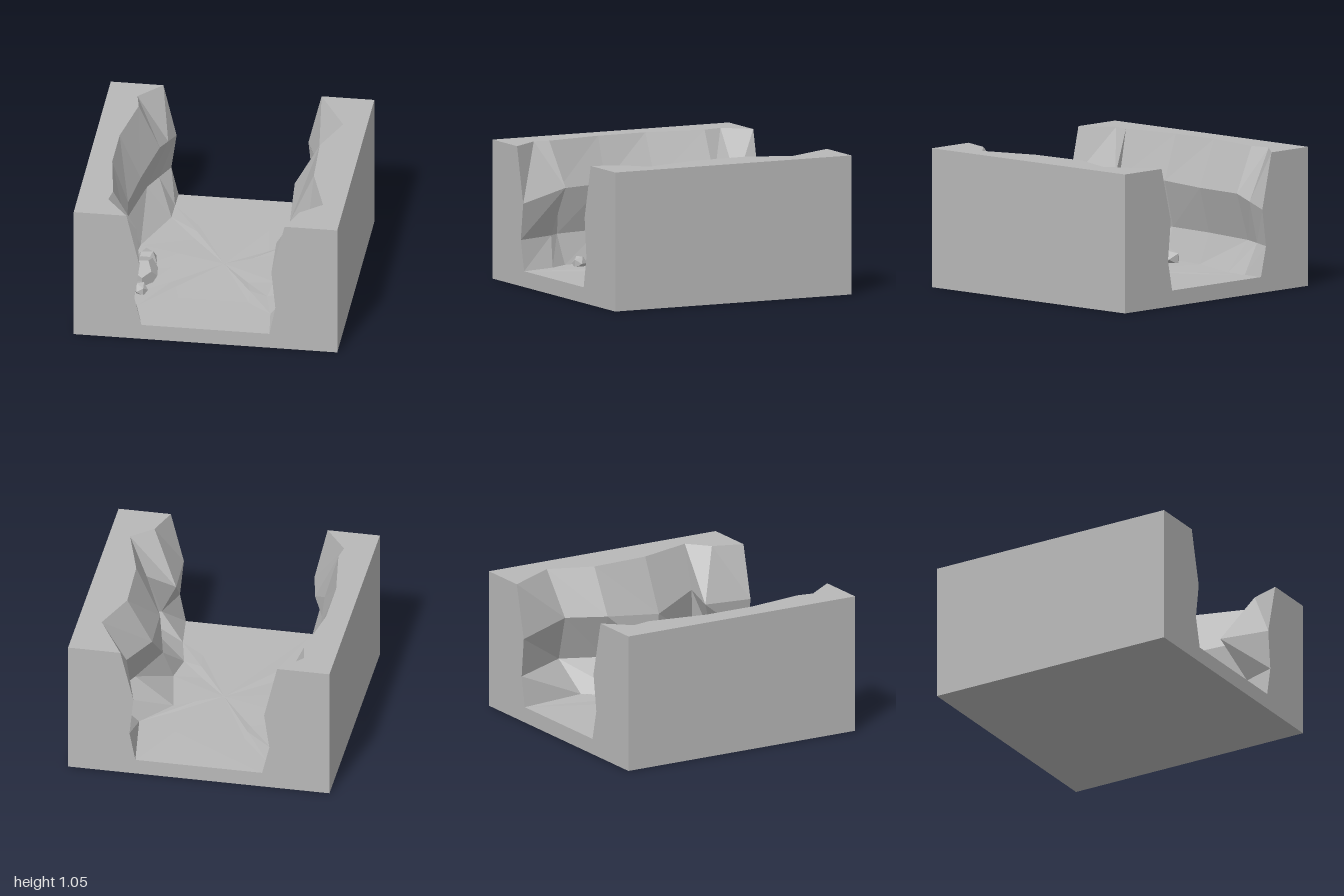
import * as THREE from 'three';

const H = 1.055, FLOOR = 0.12;
const stone = new THREE.MeshStandardMaterial({ color: 0xb8b8b8 });
stone.name = 'grey stone';

// Each station runs down a wall: rim [x,z], bulge [x,y,z], hollow [x,z], foot [x,z]
const rightWall = [
  [[-0.6, -1], [-0.5, 0.63, -1], [-0.54, -1], [-0.485, -1]],
  [[-0.77, -0.81], [-0.54, 0.67, -0.83], [-0.61, -0.84], [-0.488, -0.83]],
  [[-0.74, -0.66], [-0.58, 0.71, -0.66], [-0.68, -0.68], [-0.49, -0.65]],
  [[-0.82, -0.2], [-0.66, 0.7, -0.2], [-0.76, -0.2], [-0.66, -0.2]],
  [[-0.82, 0.2], [-0.7, 0.71, 0.2], [-0.79, 0.2], [-0.7, 0.2]],
  [[-0.75, 0.65], [-0.65, 0.7, 0.62], [-0.72, 0.6], [-0.65, 0.57]],
  [[-0.77, 0.77], [-0.58, 0.715, 0.6], [-0.66, 0.68], [-0.56, 0.72]],
  [[-0.6, 1], [-0.5, 0.63, 1], [-0.54, 1], [-0.485, 1]],
];
const leftWall = [
  [[0.6, -1], [0.5, 0.65, -1], [0.53, -1], [0.485, -1]],
  [[0.82, -0.6], [0.64, 0.71, -0.55], [0.78, -0.52], [0.56, -0.46]],
  [[0.69, -0.26], [0.5, 0.71, -0.26], [0.64, -0.2], [0.35, -0.19]],
  [[0.71, 0.2], [0.53, 0.65, 0.21], [0.5, 0.17], [0.43, 0.22]],
  [[0.84, 0.63], [0.71, 0.73, 0.61], [0.78, 0.66], [0.39, 0.44]],
  [[0.68, 0.77], [0.48, 0.675, 0.59], [0.62, 0.74], [0.45, 0.7]],
  [[0.6, 1], [0.5, 0.65, 1], [0.53, 1], [0.485, 1]],
];

// Faceted mesh from a list of triangle corners
function faceted(name, corners) {
  const geometry = new THREE.BufferGeometry();
  geometry.setAttribute('position', new THREE.Float32BufferAttribute(corners.flat(), 3));
  geometry.computeVertexNormals();
  return named(name, geometry);
}

function named(name, geometry) {
  const mesh = new THREE.Mesh(geometry, stone);
  mesh.name = name;
  return mesh;
}

// Full section of a wall, from the outer base over the rim to the foot
function section([rim, bulge, hollow, foot], side) {
  return [
    [side, 0, rim[1]], [side, H, rim[1]], [rim[0], H, rim[1]],
    bulge, [hollow[0], 0.35, hollow[1]], [foot[0], FLOOR, foot[1]],
  ];
}

function wall(name, stations, side) {
  const rows = stations.map((s) => section(s, side));
  const corners = [];
  for (let i = 0; i < rows.length - 1; i++) {
    for (let j = 0; j < 5; j++) {
      const a = rows[i][j], b = rows[i + 1][j], c = rows[i + 1][j + 1], d = rows[i][j + 1];
      if (side < 0) corners.push(a, b, c, a, c, d);
      else corners.push(a, c, b, a, d, c);
    }
  }
  return faceted(name, corners);
}

// Gently uneven floor: a fan with one middle ring
function canyonFloor() {
  const feet = [...rightWall, ...[...leftWall].reverse()].map((s) => s[3]);
  const rim = feet.map(([x, z]) => [x, FLOOR, z]);
  const ring = feet.map(([x, z], i) => [x * 0.55, FLOOR + 0.006 * Math.sin(i * 2.3), z * 0.55]);
  const centre = [0, FLOOR + 0.004, 0];
  const corners = [];
  rim.forEach((p, i) => {
    const k = (i + 1) % rim.length;
    corners.push(centre, ring[i], ring[k], ring[i], p, rim[k], ring[i], rim[k], ring[k]);
  });
  return faceted('canyonFloor', corners);
}

// U-shaped cut face at the front or back
function endFace(name, s) {
  const cut = (stations, side) => section(stations[0], side).map(([x, y]) => new THREE.Vector2(x * s, y));
  const outline = [...cut(rightWall, -1), ...cut(leftWall, 1).reverse()];
  const mesh = named(name, new THREE.ShapeGeometry(new THREE.Shape(outline)));
  mesh.position.z = s;
  if (s < 0) mesh.rotation.y = Math.PI;
  return mesh;
}

function boulder(name, geometry, position, size, turn) {
  const mesh = named(name, geometry);
  mesh.position.set(...position);
  mesh.scale.set(...size);
  mesh.rotation.y = turn;
  return mesh;
}

export function createModel() {
  const model = new THREE.Group();
  model.name = 'canyonBlock';
  model.add(wall('rightCliff', rightWall, -1), wall('leftCliff', leftWall, 1));
  model.add(canyonFloor(), endFace('frontFace', 1), endFace('backFace', -1));

  const base = named('underside', new THREE.PlaneGeometry(2, 2));
  base.rotation.x = Math.PI / 2;
  model.add(base);

  // Fallen rocks at the foot of the right cliff
  const rocks = new THREE.Group();
  rocks.name = 'fallenRocks';
  rocks.add(
    boulder('largeRock', new THREE.DodecahedronGeometry(1), [-0.58, 0.16, 0.26], [0.12, 0.1, 0.18], 0.1),
    boulder('mediumRock', new THREE.IcosahedronGeometry(1), [-0.575, 0.15, 0.06], [0.085, 0.08, 0.12], 0.2),
    boulder('smallRock', new THREE.IcosahedronGeometry(1), [-0.565, 0.14, 0.49], [0.055, 0.06, 0.07], 0.5),
  );
  model.add(rocks);
  return model;
}
